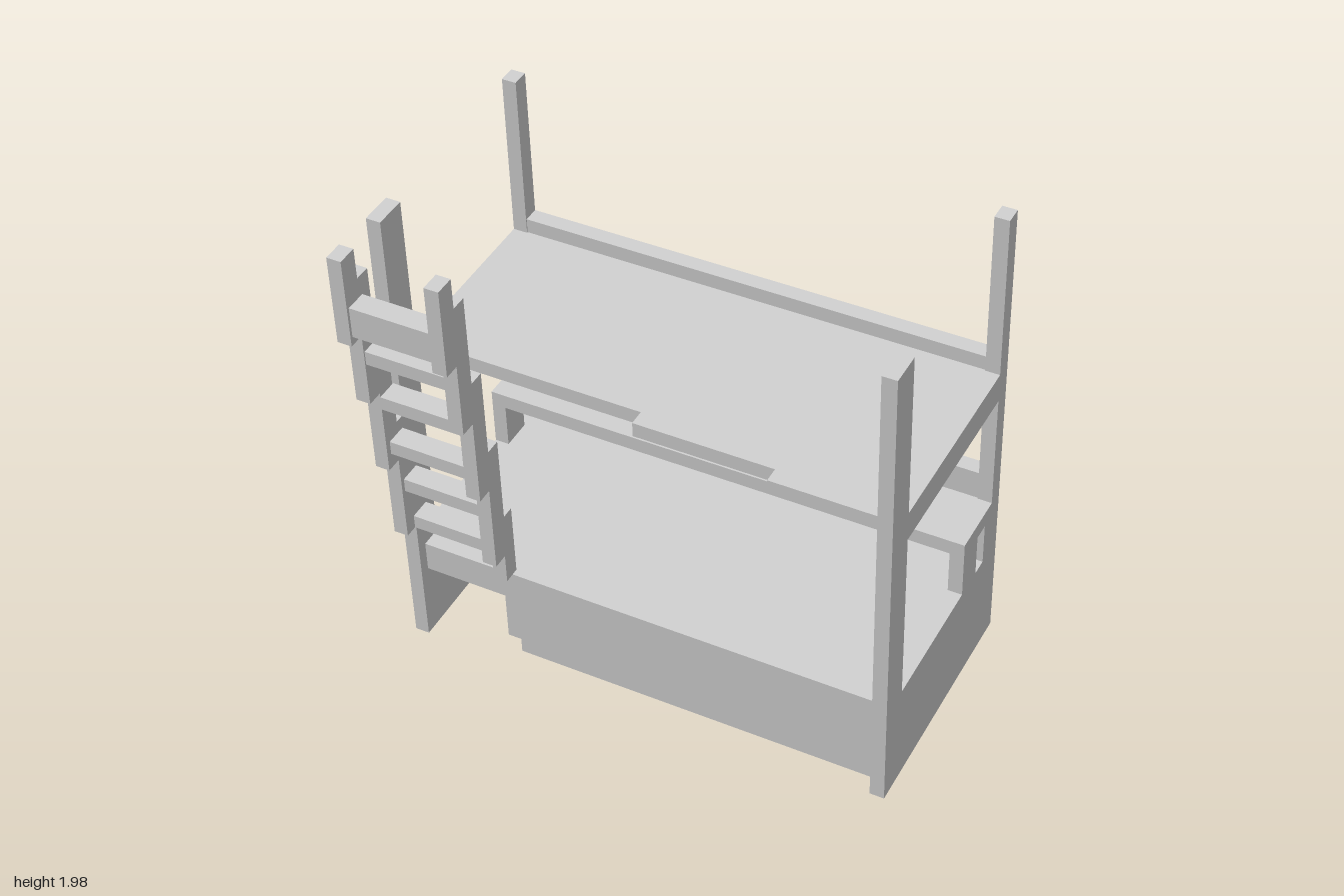
import * as THREE from 'three';

const MAT = new THREE.MeshStandardMaterial({ color: 0xcccccc, flatShading: true });

// Box given by its min and max along x, y and z
function box(parent, name, x0, x1, y0, y1, z0, z1) {
  const m = new THREE.Mesh(new THREE.BoxGeometry(x1 - x0, y1 - y0, z1 - z0), MAT);
  m.position.set((x0 + x1) / 2, (y0 + y1) / 2, (z0 + z1) / 2);
  m.name = name;
  parent.add(m);
}

// Outline points are [z, y]; the shape runs along -z so it can be turned onto x
const toPoints = (pts) => pts.map(([z, y]) => new THREE.Vector2(-z, y));

// Side frame: two posts, deck rail, solid base and slotted shelf end
function sideFrame(x) {
  const shape = new THREE.Shape(toPoints([
    [0.243, 0.105], [-0.626, 0.105], [-0.626, 1.836], [-0.566, 1.836],
    [-0.566, 1.242], [0.129, 1.242], [0.129, 1.836], [0.243, 1.836],
  ]));
  shape.holes.push(new THREE.Path(toPoints([
    [0.129, 0.487], [-0.345, 0.487], [-0.345, 0.704],
    [-0.566, 0.704], [-0.566, 1.136], [0.129, 1.136],
  ])));
  shape.holes.push(new THREE.Path(toPoints([
    [-0.455, 0.487], [-0.515, 0.487], [-0.515, 0.645], [-0.455, 0.645],
  ])));
  const geo = new THREE.ExtrudeGeometry(shape, { depth: 0.05, bevelEnabled: false });
  geo.rotateY(Math.PI / 2);
  const m = new THREE.Mesh(geo, MAT);
  m.position.x = x;
  m.name = 'sideFrame';
  return m;
}

export function createModel() {
  const model = new THREE.Group();
  model.name = 'bunkBed';
  // The whole bed is turned and tipped forward
  const bed = new THREE.Group();
  bed.name = 'bed';
  bed.rotation.set(THREE.MathUtils.degToRad(11.35), THREE.MathUtils.degToRad(-20.4), 0);
  bed.position.x = 0.006;
  model.add(bed);

  const L = -0.8525, R = 0.779; // inner faces of the side frames
  bed.add(sideFrame(L - 0.05), sideFrame(R));

  // Upper deck with a stepped front edge
  const deckShape = new THREE.Shape([
    [L, -0.07], [-0.09, -0.07], [-0.09, -0.126], [0.393, -0.126],
    [0.393, -0.18], [R, -0.18], [R, 0.57], [L, 0.57],
  ].map(([x, y]) => new THREE.Vector2(x, y)));
  const deckGeo = new THREE.ExtrudeGeometry(deckShape, { depth: 0.053, bevelEnabled: false });
  deckGeo.rotateX(-Math.PI / 2);
  const deck = new THREE.Mesh(deckGeo, MAT);
  deck.position.y = 1.189;
  deck.name = 'upperDeck';
  bed.add(deck);

  // Back rails, back panel and shelf
  box(bed, 'upperBackRail', L, R, 1.189, 1.295, -0.626, -0.57);
  box(bed, 'middleBackRail', L, R, 0.647, 0.81, -0.626, -0.57);
  box(bed, 'backPanel', L, R, 0.105, 0.487, -0.626, -0.57);
  box(bed, 'shelf', L, R, 0.65, 0.704, -0.57, -0.345);

  // Bracket hanging below the shelf
  box(bed, 'bracketStem', -0.035, 0.045, 0.54, 0.65, -0.56, -0.46);
  box(bed, 'bracketFoot', -0.075, 0.035, 0.497, 0.54, -0.62, -0.52);

  // Thick lower bed base, front rail and front panel
  box(bed, 'lowerBase', L, R, 0.29, 0.487, -0.57, 0.126);
  box(bed, 'frontRail', L, R, 0.375, 0.487, 0.126, 0.205);
  box(bed, 'frontPanel', -0.525, R, 0.107, 0.375, 0.126, 0.18);
  box(bed, 'frontPanelEnd', -0.573, -0.525, 0.163, 0.375, 0.126, 0.18);
  box(bed, 'frontPanelBacking', 0.393, R, 0.107, 0.29, 0.07, 0.126);
  box(bed, 'underBlock', 0.43, 0.7, 0.23, 0.29, -0.38, -0.21);

  // Ladder: stringers stepped in short pieces [bottom, top, back, front]
  const ladder = new THREE.Group();
  ladder.name = 'ladder';
  bed.add(ladder);
  const pieces = [
    [1.52, 1.84, 0.39, 0.46], [1.25, 1.73, 0.335, 0.405], [0.93, 1.4, 0.28, 0.35],
    [0.6, 1.08, 0.225, 0.295], [0.487, 0.76, 0.18, 0.24],
  ];
  for (const x of [-0.9025, -0.57]) {
    for (const [y0, y1, z0, z1] of pieces) box(ladder, 'stringer', x, x + 0.05, y0, y1, z0, z1);
  }
  // Rungs [bottom, height, front]
  const rungs = [
    [1.55, 0.11, 0.45], [1.405, 0.05, 0.4], [1.185, 0.05, 0.35],
    [0.985, 0.05, 0.33], [0.785, 0.05, 0.28], [0.6, 0.05, 0.25],
  ];
  for (const [y, h, z] of rungs) box(ladder, 'rung', L, -0.57, y, y + h, z - 0.075, z);

  return model;
}
